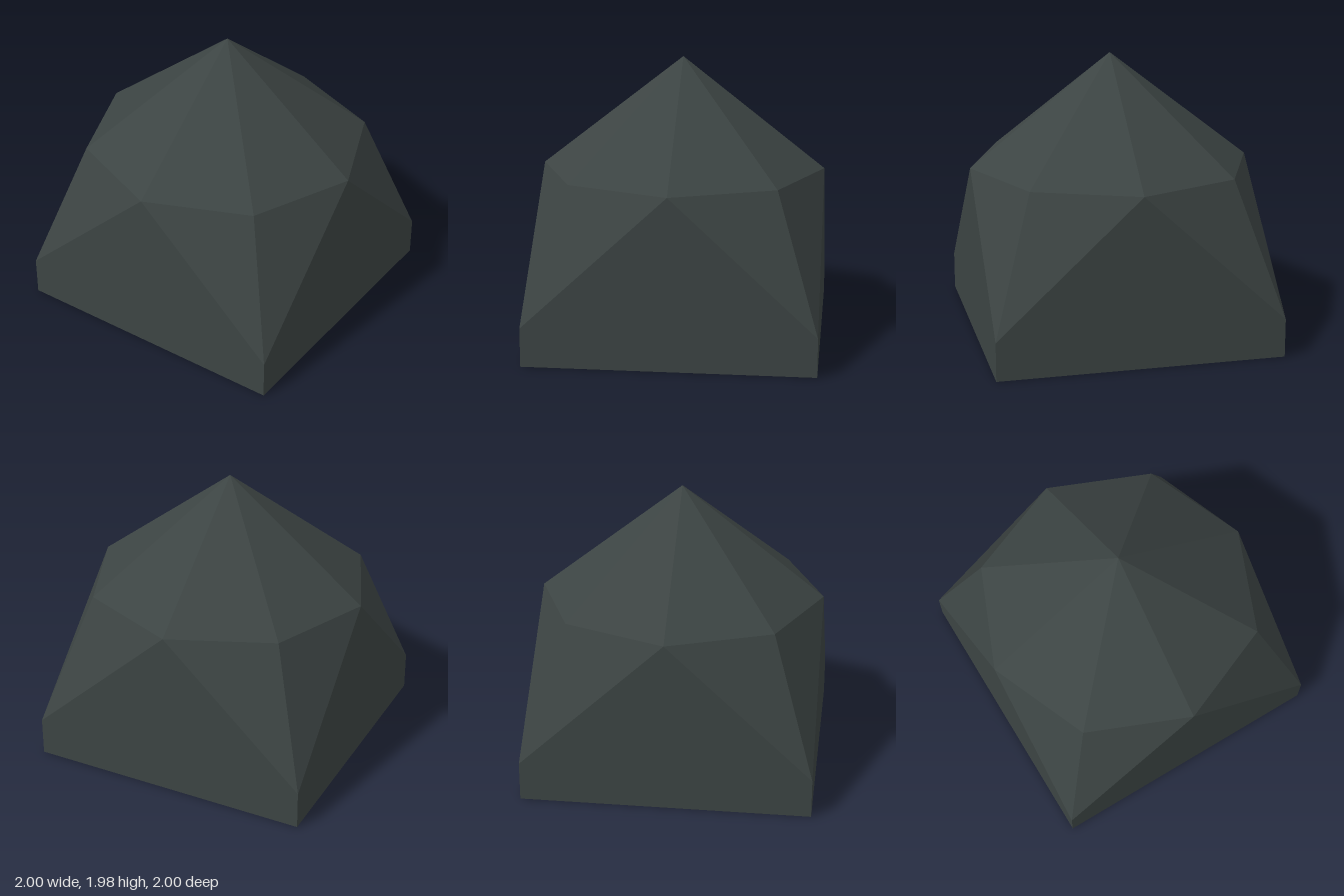
import * as THREE from 'three';
import { ConvexGeometry } from 'three/addons/geometries/ConvexGeometry.js';

// Points of a regular horizontal ring
function ring(sides, radius, y, turn = 0) {
  return Array.from({ length: sides }, (_, i) => {
    const a = turn + (i / sides) * Math.PI * 2;
    return new THREE.Vector3(Math.cos(a) * radius, y, Math.sin(a) * radius);
  });
}

export function createModel() {
  const group = new THREE.Group();
  group.name = 'facetedDome';

  const darkSlate = new THREE.MeshStandardMaterial({ color: 0x3c4443 });
  darkSlate.name = 'dark slate';

  // Square plinth blending through an octagonal shoulder to a peak
  const points = [
    ...ring(4, Math.SQRT2, 0, Math.PI / 4),
    ...ring(4, Math.SQRT2, 0.27, Math.PI / 4),
    ...ring(8, 1, 1.2),
    new THREE.Vector3(0, 1.98, 0),
  ];
  const stone = new THREE.Mesh(new ConvexGeometry(points), darkSlate);
  stone.name = 'facetedStone';
  group.add(stone);

  return group;
}
